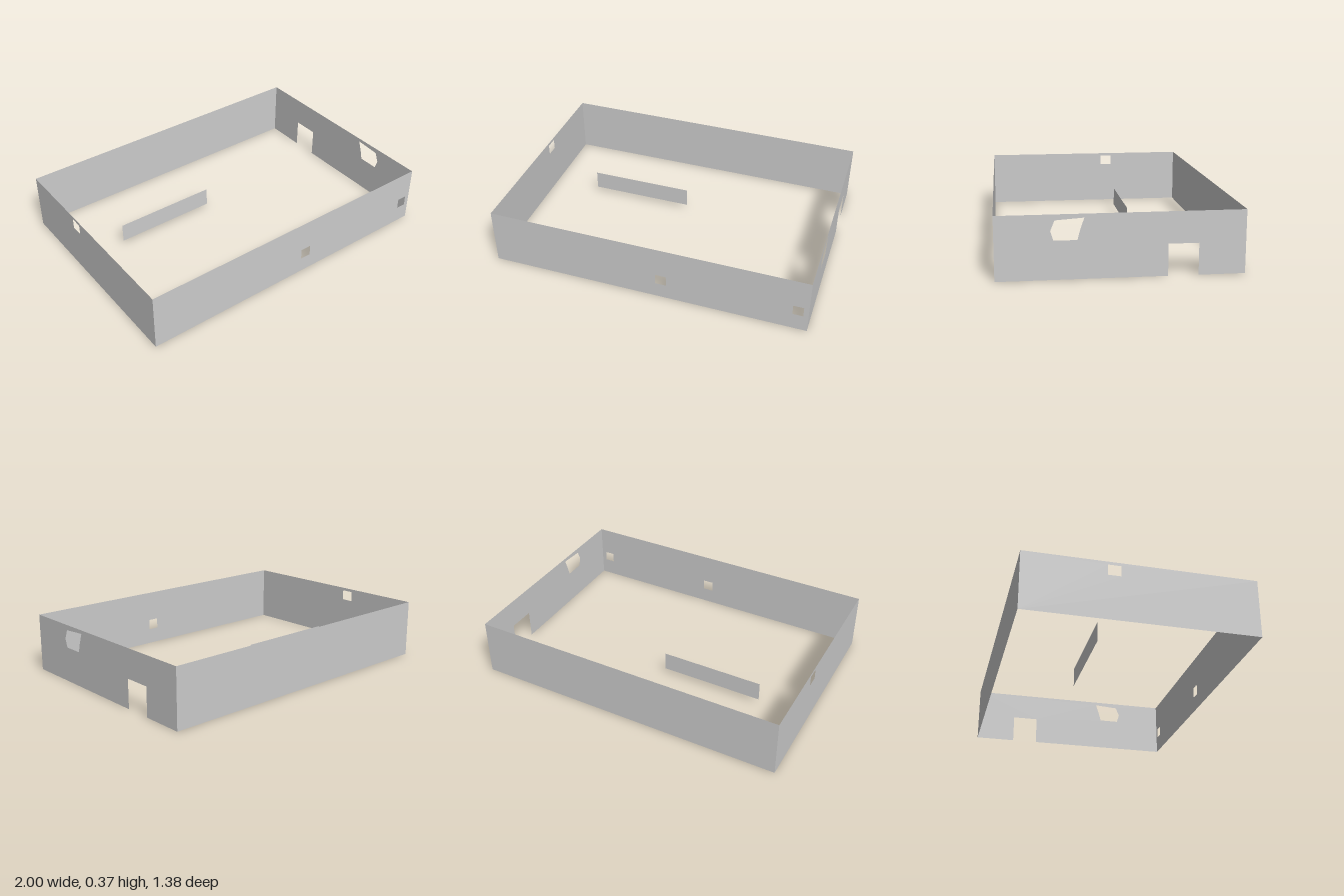
import * as THREE from 'three';

const W = 1, D = 0.692, H = 0.365; // half width, half depth, wall height

const material = new THREE.MeshStandardMaterial({ color: 0xcccccc, side: THREE.DoubleSide, flatShading: true });

const points = (list) => list.map(([x, y]) => new THREE.Vector2(x, y));
const rect = (x0, y0, x1, y1) => [[x0, y0], [x1, y0], [x1, y1], [x0, y1]];

// Thin upright sheet with cut-outs
function sheet(name, outline, holes = []) {
  const shape = new THREE.Shape(points(outline));
  for (const hole of holes) shape.holes.push(new THREE.Path(points(hole)));
  const mesh = new THREE.Mesh(new THREE.ShapeGeometry(shape), material);
  mesh.name = name;
  return mesh;
}

export function createModel() {
  const group = new THREE.Group();
  group.name = 'roomWalls';

  // Front wall with two small windows
  const front = sheet('frontWall', rect(-W, 0, W, H), [
    rect(0.067, 0.1, 0.136, 0.168),
    rect(0.906, 0.11, 0.97, 0.175),
  ]);
  front.position.z = D;

  // Plain back wall
  const back = sheet('backWall', rect(-W, 0, W, H));
  back.rotation.y = Math.PI;
  back.position.z = -D;

  // Wall at +x: doorway notch and irregular window (sheet x runs toward -z)
  const doorWall = sheet('doorWall', [
    [-D, 0], [0.257, 0], [0.257, 0.183], [0.428, 0.183], [0.428, 0], [D, 0], [D, H], [-D, H],
  ], [
    [[-0.372, 0.22], [-0.243, 0.22], [-0.228, 0.276], [-0.205, 0.343], [-0.365, 0.332], [-0.389, 0.274]],
  ]);
  doorWall.rotation.y = Math.PI / 2;
  doorWall.position.x = W;

  // Wall at -x: one high window (sheet x runs toward +z)
  const windowWall = sheet('windowWall', rect(-D, 0, D, H), [rect(-0.2, 0.28, -0.122, 0.346)]);
  windowWall.rotation.y = -Math.PI / 2;
  windowWall.position.x = -W;

  // Free-standing low panel inside the room
  const panel = sheet('innerPanel', rect(-0.68, 0.03, -0.02, 0.152));
  panel.position.z = -0.183;

  group.add(front, back, doorWall, windowWall, panel);
  return group;
}
